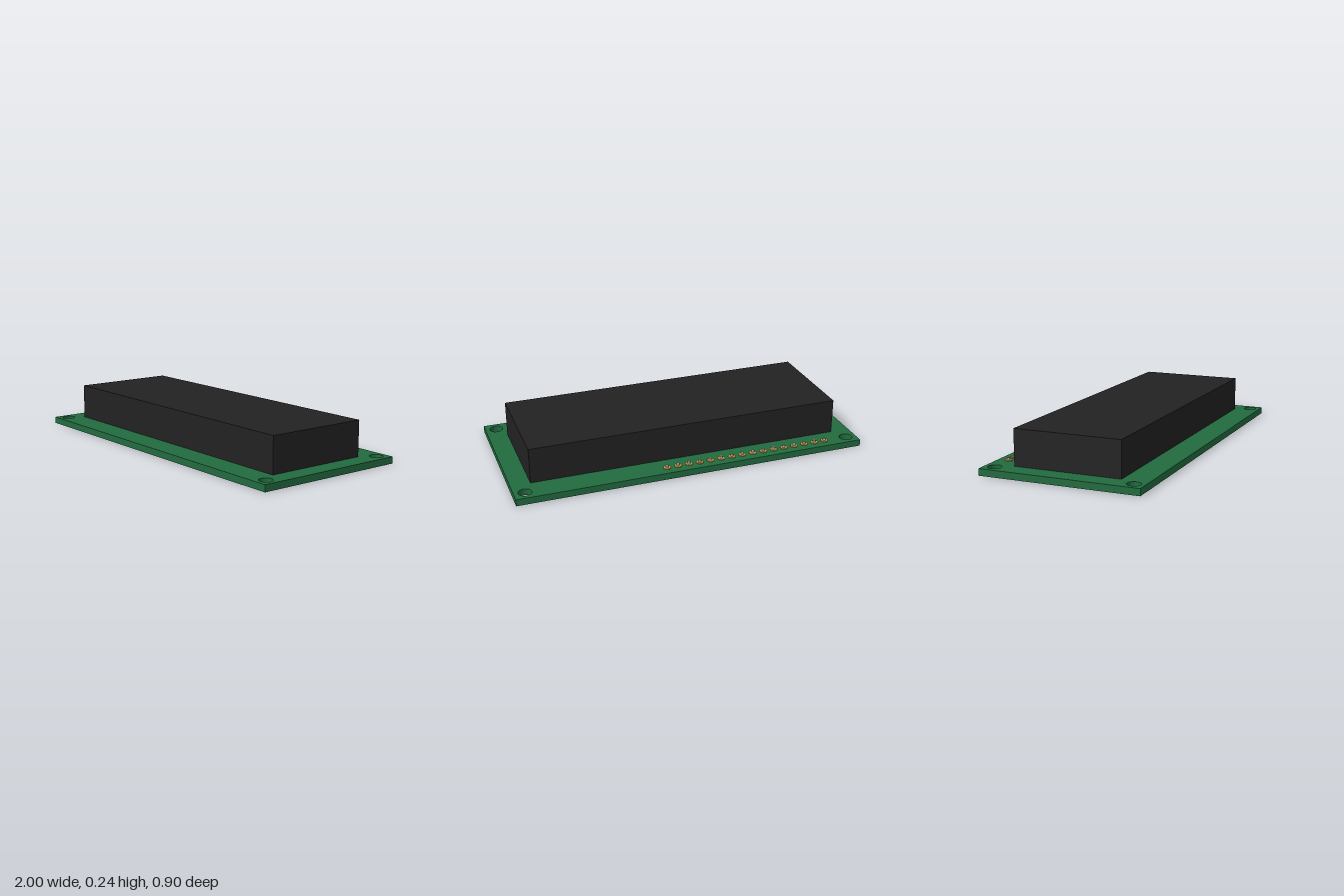
import * as THREE from 'three';

const flat = (name, color) => {
  const m = new THREE.MeshStandardMaterial({ color });
  m.name = name;
  return m;
};

export function createModel() {
  const group = new THREE.Group();
  const green = flat('board green', 0x226b40);
  const black = flat('display black', 0x222222);
  const gold = flat('pad gold', 0xc8983a);
  const silver = flat('pin silver', 0xb8b8b8);

  const add = (name, geometry, material, x, y, z) => {
    const mesh = new THREE.Mesh(geometry, material);
    mesh.name = name;
    mesh.position.set(x, y, z);
    group.add(mesh);
    return mesh;
  };

  // Circuit board with four mounting holes
  const W = 1, D = 0.448, base = 0.002, top = 0.04;
  const outline = new THREE.Shape();
  outline.moveTo(-W, -D).lineTo(W, -D).lineTo(W, D).lineTo(-W, D).closePath();
  for (const sx of [-1, 1]) {
    for (const sz of [-1, 1]) {
      const hole = new THREE.Path();
      hole.absarc(sx * 0.938, sz * 0.388, 0.037, 0, Math.PI * 2, true);
      outline.holes.push(hole);
    }
  }
  const boardGeo = new THREE.ExtrudeGeometry(outline, {
    depth: top - base, bevelEnabled: false, curveSegments: 16,
  });
  boardGeo.rotateX(-Math.PI / 2);
  add('circuitBoard', boardGeo, green, 0, base, 0);

  // Display block
  add('displayBlock', new THREE.BoxGeometry(1.78, 0.2, 0.602), black, 0, top + 0.1, 0);

  // Row of sixteen round pads with pins along the back edge
  const padGeo = new THREE.CylinderGeometry(0.021, 0.021, 0.004, 16);
  const pinGeo = new THREE.CylinderGeometry(0.008, 0.008, 0.015, 12);
  const pitch = 0.0635;
  for (let i = 0; i < 16; i++) {
    const x = -0.8 + i * pitch;
    add('headerPad', padGeo, gold, x, top + 0.002, -0.388);
    add('headerPin', pinGeo, silver, x, top + 0.0085, -0.388);
  }

  // Five contact pads on the underside near the front edge
  const contactGeo = new THREE.BoxGeometry(0.025, 0.004, 0.05);
  for (let i = -2; i <= 2; i++) {
    add('undersideContact', contactGeo, gold, -0.025 + i * pitch, 0.002, 0.35);
  }
  return group;
}
